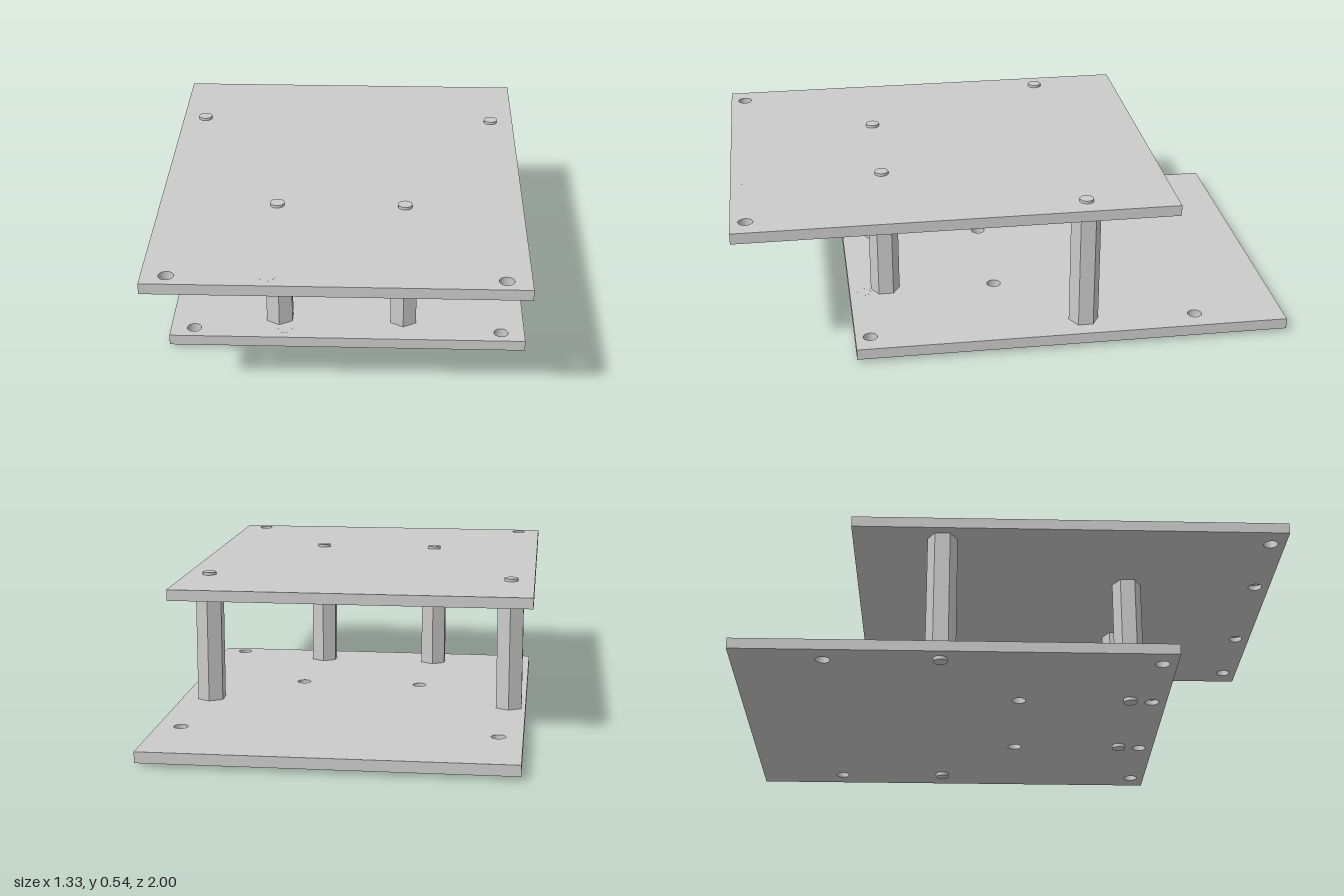
import * as THREE from 'three';

const material = new THREE.MeshStandardMaterial({ color: 0xcccccc });

const WIDTH = 1.307, DEPTH = 1.585, THICK = 0.04;
const HOLE = 0.026, SEGMENTS = 32;
const LOWER_Y = 0.013, UPPER_Y = 0.493;

function addMesh(parent, name, geometry, x, y, z) {
  const mesh = new THREE.Mesh(geometry, material);
  mesh.name = name;
  mesh.position.set(x, y, z);
  parent.add(mesh);
  return mesh;
}

// Plate with six through holes and two blind holes opening downwards
function createPlate(name) {
  const plate = new THREE.Group();
  plate.name = name;
  const w = WIDTH / 2, d = DEPTH / 2;
  const outline = new THREE.Shape([
    new THREE.Vector2(-w, -d), new THREE.Vector2(w, -d),
    new THREE.Vector2(w, d), new THREE.Vector2(-w, d),
  ]);
  // half spacing in x, position in z, blind or not
  const rows = [[0.567, -0.465, false], [0.23, 0.24, false], [0.567, 0.738, false], [0.23, 0.738, true]];
  for (const [x, z, blind] of rows) {
    for (const side of [-1, 1]) {
      outline.holes.push(new THREE.Path().absarc(side * x, -z, HOLE, 0, Math.PI * 2, true));
      if (blind) {
        const floor = new THREE.CylinderGeometry(HOLE, HOLE, THICK / 2, SEGMENTS);
        addMesh(plate, 'blindHoleFloor', floor, side * x, THICK * 0.75, z);
      }
    }
  }
  const board = new THREE.ExtrudeGeometry(outline, { depth: THICK, bevelEnabled: false, curveSegments: SEGMENTS });
  board.rotateX(-Math.PI / 2);
  addMesh(plate, 'board', board, 0, 0, 0);
  return plate;
}

// Hexagonal spacer with a round stud showing through each plate
function createStandoff(x, z) {
  const standoff = new THREE.Group();
  standoff.name = 'standoff';
  const bottom = LOWER_Y + THICK, height = UPPER_Y - bottom;
  const hex = new THREE.CylinderGeometry(0.055, 0.055, height, 6).toNonIndexed();
  hex.computeVertexNormals();
  addMesh(standoff, 'hexSpacer', hex, 0, bottom + height / 2, 0);
  const length = LOWER_Y + THICK;
  const stud = new THREE.CylinderGeometry(0.0255, 0.0255, length, SEGMENTS);
  addMesh(standoff, 'lowerStud', stud, 0, length / 2, 0);
  addMesh(standoff, 'upperStud', stud, 0, UPPER_Y + THICK + 0.01 - length / 2, 0);
  standoff.position.set(x, 0, z);
  return standoff;
}

export function createModel() {
  const model = new THREE.Group();
  model.name = 'twoPlateStand';

  // Identical plates, the upper one shifted forward
  const lower = createPlate('lowerPlate');
  lower.position.set(0.011, LOWER_Y, -0.2075);
  const upper = createPlate('upperPlate');
  upper.position.set(-0.013, UPPER_Y, 0.2075);
  model.add(lower, upper);

  // Standoffs line up with holes of the upper plate
  for (const [x, z] of [[0.567, -0.465], [0.23, 0.24]]) {
    for (const side of [-1, 1]) {
      model.add(createStandoff(upper.position.x + side * x, upper.position.z + z));
    }
  }
  return model;
}
